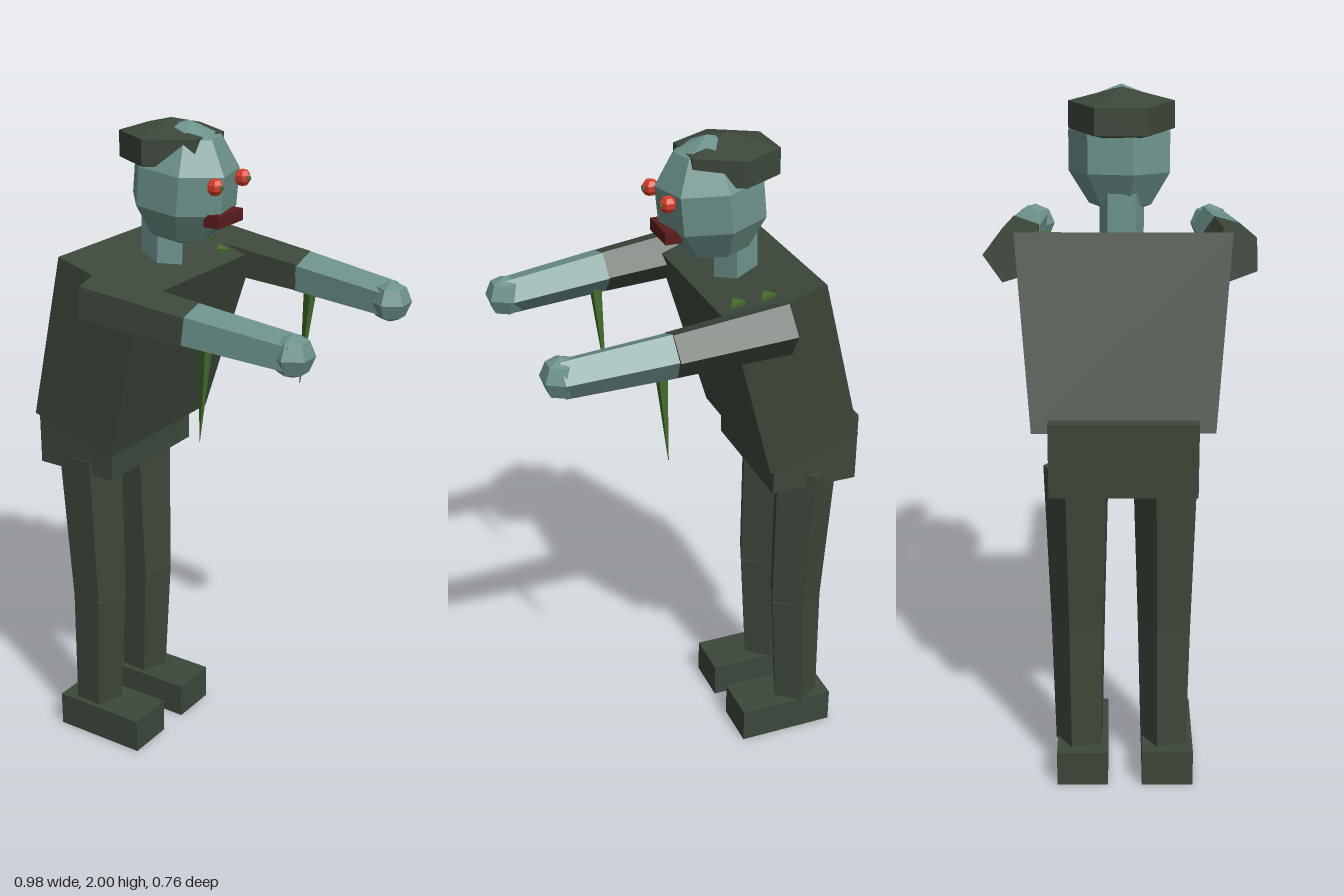
import * as THREE from 'three';

const mat = (name, color) => {
  const m = new THREE.MeshStandardMaterial({ color, flatShading: true });
  m.name = name;
  return m;
};

export function createModel() {
  const model = new THREE.Group();
  model.name = 'shamblingFigure';
  const cloth = mat('darkCloth', 0x3d473b);
  const skin = mat('paleSkin', 0x6d928b);
  const red = mat('eyeRed', 0xd43c2c);
  const maroon = mat('mouthMaroon', 0x5a1c1c);
  const green = mat('slimeGreen', 0x466e2e);

  const add = (name, geo, material, x = 0, y = 0, z = 0) => {
    const mesh = new THREE.Mesh(geo, material);
    mesh.name = name;
    mesh.position.set(x, y, z);
    model.add(mesh);
    return mesh;
  };

  // Tapered prism running from point a (radius ra) to point b (radius rb)
  const up = new THREE.Vector3(0, 1, 0);
  const limb = (name, material, a, b, ra, rb, sides, startDeg) => {
    const va = new THREE.Vector3(...a), vb = new THREE.Vector3(...b);
    const dir = vb.clone().sub(va);
    const geo = new THREE.CylinderGeometry(rb, ra, dir.length(), sides, 1, false, THREE.MathUtils.degToRad(startDeg));
    const mid = va.add(vb).multiplyScalar(0.5);
    const mesh = add(name, geo, material, mid.x, mid.y, mid.z);
    mesh.quaternion.setFromUnitVectors(up, dir.normalize());
    return mesh;
  };

  // Torso: leaning box, narrower at the waist
  const torsoGeo = new THREE.BoxGeometry(0.29, 0.54, 0.59);
  const p = torsoGeo.attributes.position;
  for (let i = 0; i < p.count; i++) if (p.getY(i) < 0) p.setZ(i, p.getZ(i) * 0.85);
  torsoGeo.computeVertexNormals();
  add('torso', torsoGeo, cloth, -0.253, 1.34, 0.005).rotation.z = -0.28;
  add('pelvis', new THREE.BoxGeometry(0.27, 0.215, 0.41), cloth, -0.355, 1.0475, 0.005);

  for (const s of [1, -1]) {
    const side = s > 0 ? 'near' : 'far';

    // Legs and feet
    const legZ = 0.006 + s * 0.126;
    limb(side + 'Shin', cloth, [-0.355, 0.1, legZ], [-0.34, 0.495, legZ], 0.075, 0.085, 5, 33);
    limb(side + 'Thigh', cloth, [-0.34, 0.495, legZ], [-0.355, 0.98, legZ], 0.085, 0.1, 5, 33);
    add(side + 'Foot', new THREE.BoxGeometry(0.305, 0.11, 0.15), cloth, -0.3025, 0.055, 0.01 + s * 0.125);

    // Arms stretched forward: sleeve, bare forearm, hand
    const shoulder = [-0.195, 1.545, 0.003 + s * 0.309];
    const elbow = [0.135, 1.517, s * 0.3];
    const wrist = [0.44, 1.49, s * 0.28];
    limb(side + 'Sleeve', cloth, shoulder, elbow, 0.08, 0.067, 5, 36);
    limb(side + 'Forearm', skin, elbow, wrist, 0.067, 0.057, 5, 36);
    add(side + 'Hand', new THREE.SphereGeometry(0.061, 6, 4), skin, 0.437, 1.49, 0.004 + s * 0.276).rotation.y = Math.PI / 6;

    // Slime drip hanging from the forearm
    limb(side + 'Drip', green, [0.14, 1.175, s * 0.275], [0.165, 1.47, s * 0.28], 0.001, 0.022, 3, 30);

    // Bulging eye with a small pupil
    const eyeZ = 0.005 + s * 0.07;
    add(side + 'Eye', new THREE.SphereGeometry(0.025, 6, 5), red, 0.06, 1.842, eyeZ);
    add(side + 'Pupil', new THREE.SphereGeometry(0.011, 5, 4), green, 0.076, 1.842, eyeZ);
  }

  // Slime spikes sunk into the shoulder, only their bases showing
  for (const [x, y, z] of [[-0.2, 1.612, -0.222], [-0.123, 1.59, -0.192]]) {
    const spike = limb('shoulderSlime', green, [x, y - 0.25, z], [x, y, z], 0.001, 0.025, 3, 0);
    spike.rotation.z = -0.25;
  }

  // Neck and head
  limb('neck', skin, [-0.17, 1.54, 0], [-0.165, 1.72, 0], 0.065, 0.065, 5, 18);
  const headGeo = new THREE.SphereGeometry(1, 7, 5);
  headGeo.rotateY(0.22);
  headGeo.scale(0.164, 0.18, 0.155);
  add('head', headGeo, skin, -0.094, 1.82, 0).rotation.z = -0.1;
  add('mouth', new THREE.BoxGeometry(0.05, 0.035, 0.125), maroon, 0.04, 1.739, 0.003);

  // Hair: flattened hexagonal ball on the back of the head
  const hairGeo = new THREE.SphereGeometry(1, 6, 3);
  hairGeo.rotateY(Math.PI / 6);
  hairGeo.scale(0.172, 0.075, 0.168);
  add('hair', hairGeo, cloth, -0.137, 1.925, 0);

  return model;
}
